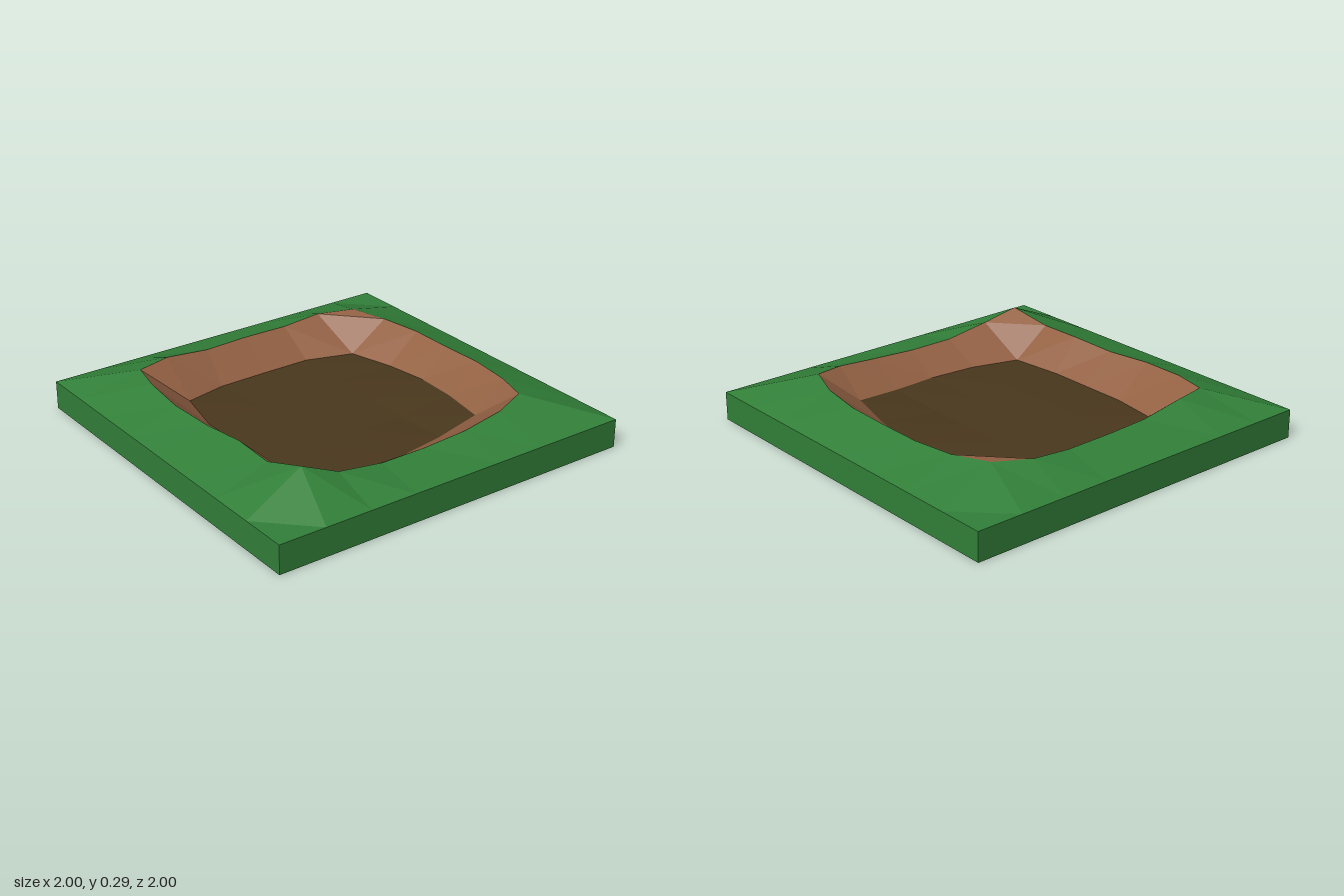
import * as THREE from 'three';

const N = 8; // ground grid cells per side

// Hole edge, clockwise from the back right-hand corner: x, z, height
const RIM = [
  -0.67, -0.65, 0.25, -0.48, -0.72, 0.24, -0.25, -0.755, 0.24, 0, -0.755, 0.24, 0.24, -0.755, 0.245, 0.48, -0.72, 0.25,
  0.67, -0.655, 0.26, 0.73, -0.48, 0.24, 0.75, -0.25, 0.215, 0.75, 0, 0.2, 0.75, 0.25, 0.2, 0.75, 0.5, 0.235,
  0.7, 0.67, 0.295, 0.49, 0.71, 0.24, 0.25, 0.705, 0.245, 0, 0.725, 0.23, -0.25, 0.745, 0.24, -0.5, 0.725, 0.25,
  -0.68, 0.685, 0.25, -0.72, 0.5, 0.255, -0.735, 0.25, 0.225, -0.75, 0, 0.225, -0.75, -0.25, 0.222, -0.75, -0.47, 0.24,
];
// Foot of the dirt wall, same order
const FOOT = [
  -0.5, -0.52, 0.08, -0.25, -0.58, 0.085, 0, -0.6, 0.095, 0.25, -0.57, 0.11,
  0.52, -0.51, 0.125, 0.56, -0.25, 0.1, 0.59, 0, 0.09, 0.575, 0.27, 0.085,
  0.51, 0.525, 0.08, 0.23, 0.555, 0.08, 0, 0.555, 0.08, -0.25, 0.555, 0.08,
  -0.51, 0.505, 0.09, -0.575, 0.27, 0.08, -0.58, 0, 0.08, -0.58, -0.27, 0.08,
];

// Grid nodes of one square ring, walked clockwise as seen from above
function ringNodes(k) {
  const a = k, b = N - k, nodes = [];
  for (let i = a; i < b; i++) nodes.push([i, a]);
  for (let i = a; i < b; i++) nodes.push([b, i]);
  for (let i = b; i > a; i--) nodes.push([i, b]);
  for (let i = b; i > a; i--) nodes.push([a, i]);
  return nodes;
}

function groundPoints() {
  const pts = [];
  for (let j = 0; j <= N; j++) {
    for (let i = 0; i <= N; i++) {
      const border = i === 0 || j === 0 || i === N || j === N;
      pts.push(new THREE.Vector3((i * 2) / N - 1, border ? 0.15 : 0.085, (j * 2) / N - 1));
    }
  }
  [RIM, FOOT].forEach((table, t) => ringNodes(t + 1).forEach(([i, j], n) => {
    pts[j * (N + 1) + i].set(table[n * 3], table[n * 3 + 2], table[n * 3 + 1]);
  }));
  return pts;
}

function part(name, color, points, index) {
  const geometry = new THREE.BufferGeometry().setFromPoints(points);
  geometry.setIndex(index);
  geometry.computeVertexNormals();
  const material = new THREE.MeshStandardMaterial({ color, flatShading: true, side: THREE.DoubleSide });
  const mesh = new THREE.Mesh(geometry, material);
  mesh.name = name;
  return mesh;
}

export function createModel() {
  const group = new THREE.Group();
  group.name = 'groundTileWithHole';
  const pts = groundPoints();

  // Sort the grid cells into grass bank, dirt wall and floor by their ring
  const faces = [[], [], []];
  for (let j = 0; j < N; j++) {
    for (let i = 0; i < N; i++) {
      const ring = Math.min(i, j, N - 1 - i, N - 1 - j, 2);
      const a = j * (N + 1) + i, b = a + N + 1;
      faces[ring].push(a, b, a + 1, b, b + 1, a + 1);
    }
  }
  group.add(part('grassBank', 0x328039, pts, faces[0]));
  group.add(part('dirtWall', 0x946244, pts, faces[1]));
  group.add(part('holeFloor', 0x4a381d, pts, faces[2]));

  // Upright sides of the tile, open underneath
  const skirt = [], skirtFaces = [];
  const corners = [[-1, -1], [1, -1], [1, 1], [-1, 1]];
  corners.forEach(([x, z], n) => {
    skirt.push(new THREE.Vector3(x, 0, z), new THREE.Vector3(x, 0.15, z));
    const a = n * 2, b = ((n + 1) % 4) * 2;
    skirtFaces.push(a, a + 1, b, b, a + 1, b + 1);
  });
  group.add(part('tileSides', 0x328039, skirt, skirtFaces));
  return group;
}
